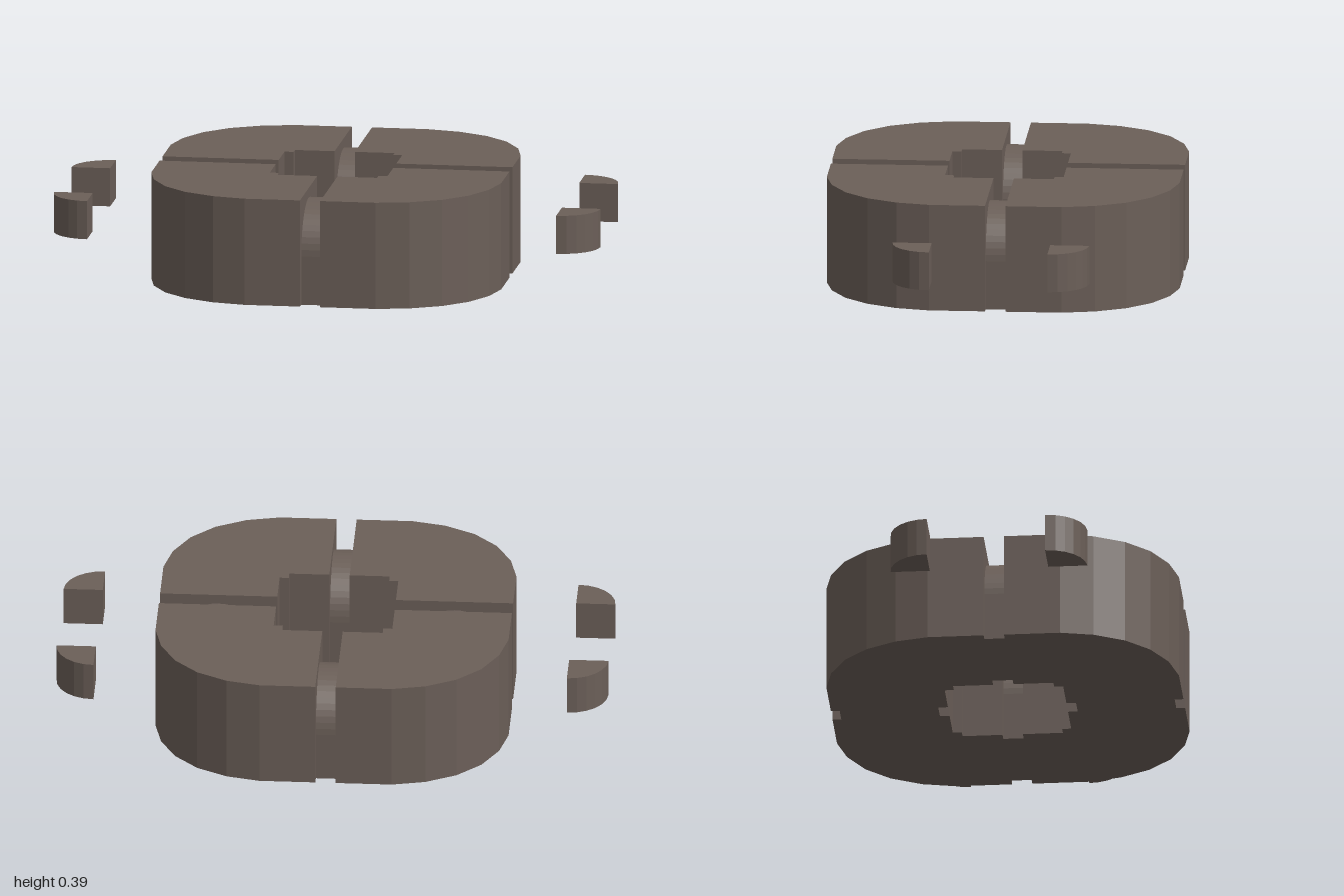
import * as THREE from 'three';

const material = new THREE.MeshStandardMaterial({ color: 0x6b5f58, flatShading: true });

// Upright prism over a plan outline given as [x, z] points
function prism(points, bottom, top) {
  const shape = new THREE.Shape(points.map(([x, z]) => new THREE.Vector2(x, z)));
  const geometry = new THREE.ExtrudeGeometry(shape, { depth: top - bottom, bevelEnabled: false });
  return geometry.rotateX(Math.PI / 2).translate(0, top, 0);
}

export function createModel() {
  const model = new THREE.Group();
  const add = (geometry, name) => {
    const mesh = new THREE.Mesh(geometry, material);
    mesh.name = name;
    model.add(mesh);
    return mesh;
  };

  // Quarter block: faceted outer curve, stepped inner corner
  const quarter = prism([
    [0.037, 0.64], [0.24, 0.64], [0.36, 0.613], [0.47, 0.555], [0.555, 0.47], [0.613, 0.36], [0.64, 0.24], [0.64, 0.037],
    [0.215, 0.037], [0.215, 0.182], [0.182, 0.182], [0.182, 0.215], [0.037, 0.215],
  ], 0, 0.393);

  // Round-topped web filling the slot between two blocks
  const arch = new THREE.Shape();
  arch.moveTo(0.25, 0);
  arch.lineTo(0.608, 0);
  arch.lineTo(0.608, 0.179);
  arch.absarc(0.429, 0.179, 0.179, 0, Math.PI, false);
  arch.closePath();
  const web = new THREE.ExtrudeGeometry(arch, { depth: 0.074, bevelEnabled: false, curveSegments: 12 });
  web.translate(0, 0, -0.037);

  for (let i = 0; i < 4; i++) {
    add(quarter, 'quarterBlock' + i).rotation.y = i * Math.PI / 2;
    add(web, 'slotWeb' + i).rotation.y = i * Math.PI / 2;
  }

  // Four separate quarter-round pegs beside the ring
  for (const sx of [-1, 1]) {
    for (const sz of [-1, 1]) {
      const outline = [[sx * 0.858, sz * 0.215]];
      for (let i = 0; i <= 6; i++) {
        const a = i / 6 * Math.PI / 2;
        outline.push([sx * (0.858 + 0.142 * Math.cos(a)), sz * (0.215 + 0.142 * Math.sin(a))]);
      }
      add(prism(outline, 0.163, 0.304), (sx > 0 ? 'left' : 'right') + (sz > 0 ? 'Front' : 'Back') + 'Peg');
    }
  }
  return model;
}
